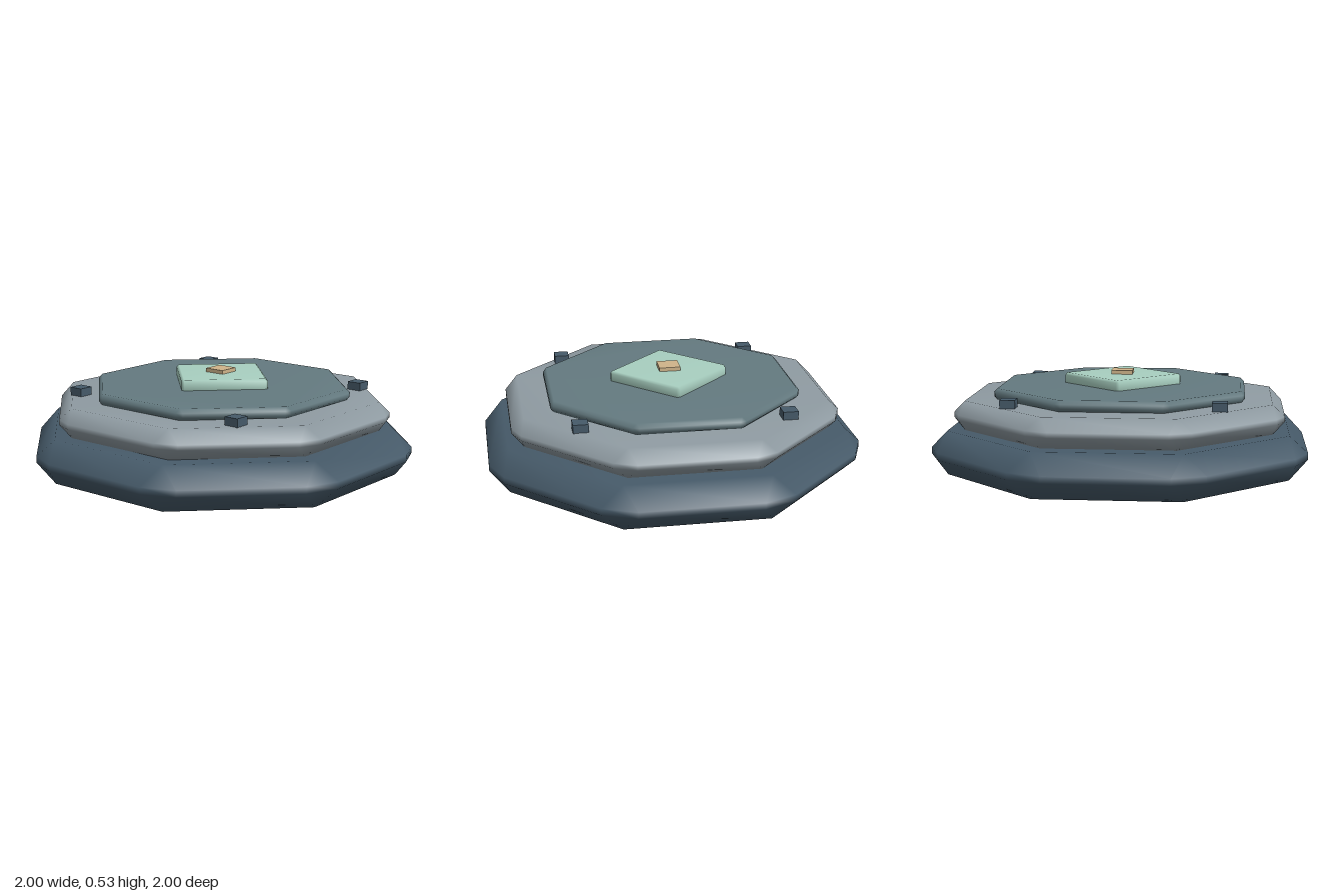
import * as THREE from 'three';

const material = (name, color) => {
  const m = new THREE.MeshStandardMaterial({ color });
  m.name = name;
  return m;
};

// Regular prism with every edge chamfered by b; flat sides face the given angle
function bevelledPrism(n, apothem, b, y0, y1, faceAngle) {
  const pos = [], idx = [];
  const half = apothem * Math.tan(Math.PI / n);
  const capRadius = (apothem - b) / Math.cos(Math.PI / n);
  // Per side: cap corner below, lower side pair, upper side pair, cap corner above
  for (let i = 0; i < n; i++) {
    const a = faceAngle + i * Math.PI * 2 / n;
    const c = Math.cos(a), s = Math.sin(a);
    const corner = a + Math.PI / n;
    const cx = Math.cos(corner) * capRadius, cz = Math.sin(corner) * capRadius;
    const side = (t, y) => pos.push(c * apothem - s * t, y, s * apothem + c * t);
    pos.push(cx, y0, cz);
    side(-half + b, y0 + b);
    side(half - b, y0 + b);
    side(-half + b, y1 - b);
    side(half - b, y1 - b);
    pos.push(cx, y1, cz);
  }
  const quad = (a, b2, c, d) => idx.push(a, b2, c, a, c, d);
  for (let i = 0; i < n; i++) {
    const o = i * 6, p = ((i + n - 1) % n) * 6, q = ((i + 1) % n) * 6;
    quad(o + 1, o + 3, o + 4, o + 2);         // side
    quad(o + 2, o + 4, q + 3, q + 1);         // upright chamfer
    quad(o + 3, p + 5, o + 5, o + 4);         // upper chamfer
    quad(p, o + 1, o + 2, o);                 // lower chamfer
    idx.push(o + 4, o + 5, q + 3);            // corner triangles
    idx.push(o, o + 2, q + 1);
    if (i > 0 && i < n - 1) {                 // caps
      idx.push(5, q + 5, o + 5);
      idx.push(0, o, q);
    }
  }
  const g = new THREE.BufferGeometry();
  g.setAttribute('position', new THREE.Float32BufferAttribute(pos, 3));
  g.setIndex(idx);
  g.computeVertexNormals();
  return g;
}

export function createModel() {
  const model = new THREE.Group();
  model.name = 'steppedPlatform';

  const slate = material('darkSlate', 0x465a69);
  const grey = material('stoneGrey', 0x8f9ba2);
  const teal = material('greyTeal', 0x647a80);
  const mint = material('paleMint', 0xa8cfc0);
  const tan = material('warmTan', 0xcfb48a);

  const add = (name, geometry, mat, x = 0, y = 0, z = 0) => {
    const mesh = new THREE.Mesh(geometry, mat);
    mesh.name = name;
    mesh.position.set(x, y, z);
    model.add(mesh);
  };

  // Octagonal tiers
  add('baseTier', bevelledPrism(8, 1, 0.1, 0, 0.235, 0), slate);
  add('middleTier', bevelledPrism(8, 0.877, 0.066, 0.232, 0.391, 0), grey);
  add('topPlate', bevelledPrism(8, 0.667, 0.02, 0.388, 0.45, 0), teal);

  // Diamond pad and its centre tile
  add('diamondPad', bevelledPrism(4, 0.23, 0.013, 0.435, 0.505, Math.PI / 4), mint);
  add('centreTile', new THREE.BoxGeometry(0.115, 0.025, 0.115), tan, 0, 0.513, 0);

  // Four pegs on the diagonals
  const peg = new THREE.BoxGeometry(0.08, 0.045, 0.08);
  for (const x of [-0.54, 0.54]) {
    for (const z of [-0.54, 0.54]) add('cornerPeg', peg, slate, x, 0.412, z);
  }
  return model;
}
